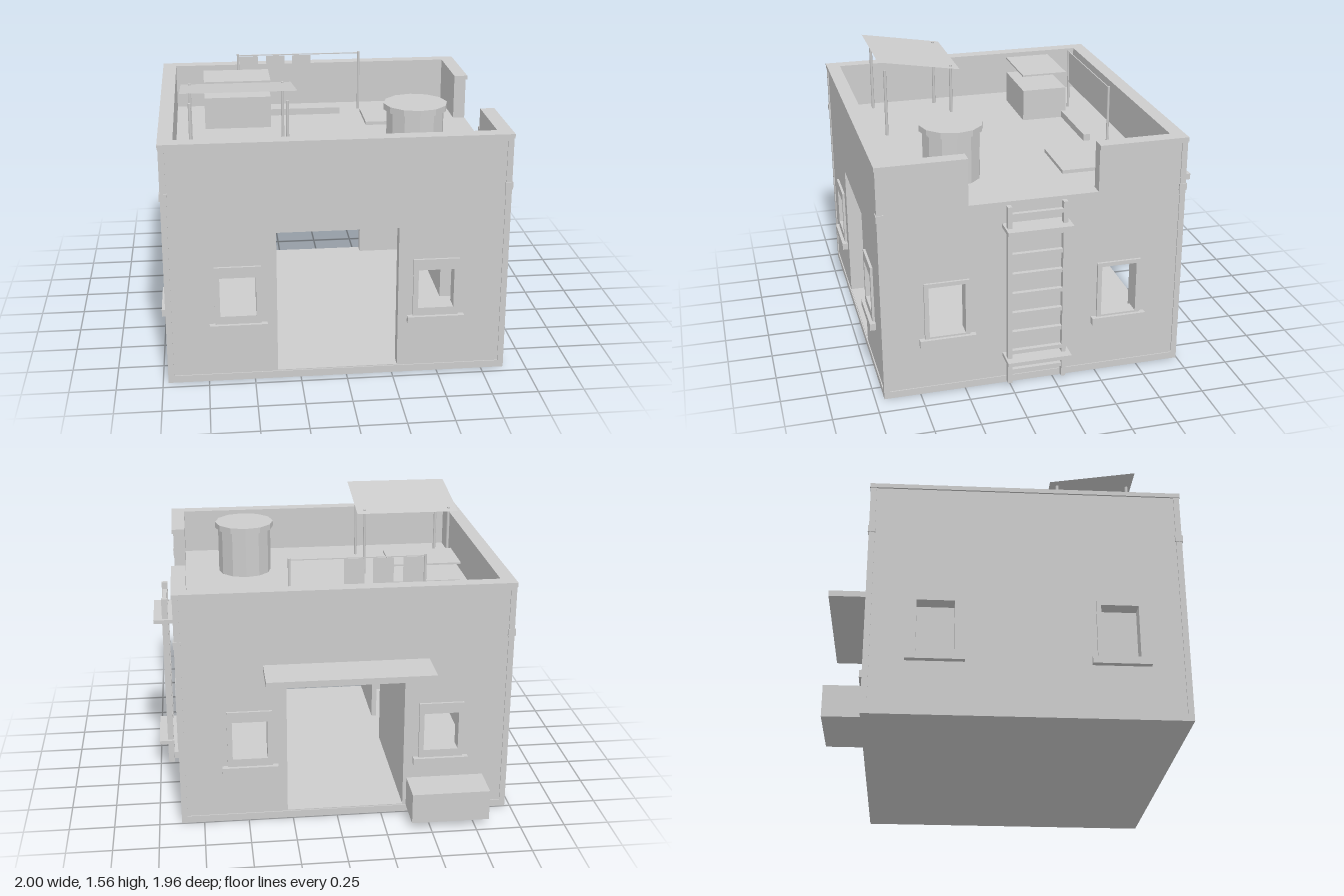
import * as THREE from 'three';

const plaster = new THREE.MeshStandardMaterial({ color: 0xcccccc });
plaster.name = 'plaster';
const thin = new THREE.MeshStandardMaterial({ color: 0xcccccc, side: THREE.DoubleSide });
thin.name = 'thinSheet';

// Outer faces of the walls
const L = -0.965, R = 0.87, B = -0.74, F = 0.945, T = 0.07;
const ROOF = 1.09, TOP = 1.33;

export function createModel() {
  const model = new THREE.Group();
  model.name = 'flatRoofHouse';

  const add = (name, geo, parent = model, mat = plaster) => {
    const mesh = new THREE.Mesh(geo, mat);
    mesh.name = name;
    parent.add(mesh);
    return mesh;
  };
  // Box given by its limits on each axis
  const box = (name, x0, x1, y0, y1, z0, z1, parent = model) => {
    const mesh = add(name, new THREE.BoxGeometry(x1 - x0, y1 - y0, z1 - z0), parent);
    mesh.position.set((x0 + x1) / 2, (y0 + y1) / 2, (z0 + z1) / 2);
    return mesh;
  };
  const rod = (name, x, z, y0, y1, r) => {
    const mesh = add(name, new THREE.CylinderGeometry(r, r, y1 - y0, 6));
    mesh.position.set(x, (y0 + y1) / 2, z);
  };
  const poly = (pts, Type = THREE.Shape) => new Type(pts.map(p => new THREE.Vector2(...p)));
  const rect = (a, b, c, d, Type) => poly([[a, c], [b, c], [b, d], [a, d]], Type);
  // Upright panel with rectangular openings
  const panel = (name, shape, holes, depth, parent) => {
    shape.holes = holes.map(h => rect(...h, THREE.Path));
    return add(name, new THREE.ExtrudeGeometry(shape, { depth, bevelEnabled: false }), parent);
  };

  // Front and back walls, each with a doorway and two windows
  const frontX = [-0.583, 0.485], sideZ = [0.592, -0.378];
  const door = [-0.375, 0.28, 0.045, 0.85];
  const frontHoles = [door, ...frontX.map(c => [c - 0.097, c + 0.097, 0.385, 0.607])];
  const sideHoles = sideZ.map(c => [c - 0.1, c + 0.1, 0.35, 0.645]);
  panel('frontWall', rect(L, R, 0, TOP), frontHoles, T).position.z = F - T;
  panel('backWall', rect(L, R, 0, TOP), frontHoles, T).position.z = B;

  // Side walls; the right one has a gap in its parapet for the ladder
  const z0 = B + T, z1 = F - T, gap0 = -0.25, gap1 = 0.465;
  const left = panel('leftWall', rect(z0, z1, 0, TOP), sideHoles, T);
  left.position.x = L + T;
  const right = panel('rightWall', poly([[z0, 0], [z1, 0], [z1, TOP], [gap1, TOP],
    [gap1, ROOF], [gap0, ROOF], [gap0, TOP], [z0, TOP]]), sideHoles, T);
  right.position.x = R;
  left.rotation.y = right.rotation.y = -Math.PI / 2;

  // Floor, roof and inner partition with a passage
  box('floor', L + T, R - T, 0, 0.045, z0, z1);
  box('roof', L + T, R - T, 1.05, ROOF, z0, z1);
  box('partitionFront', -0.405, -0.375, 0.045, 1.05, 0.45, z1);
  box('partitionBack', -0.405, -0.375, 0.045, 1.05, z0, 0.13);
  box('counter', 0.68, R - T, 0.045, 0.25, -0.35, 0.1);

  // Plinth strips
  const p = 0.006;
  box('plinthFront', L - p, R + p, 0, 0.04, F, F + p);
  box('plinthBack', L - p, R + p, 0, 0.04, B - p, B);
  box('plinthLeft', L - p, L, 0, 0.04, B, F);
  box('plinthRight', R, R + p, 0, 0.04, B, F);

  // Coping on the parapet
  const cx0 = L - 0.01, cx1 = R + 0.01, cz0 = B - 0.01, cz1 = F + 0.01, CT = 1.355;
  box('copingFront', cx0, cx1, TOP, CT, z1, cz1);
  box('copingBack', cx0, cx1, TOP, CT, cz0, z0);
  box('copingLeft', cx0, L + T, TOP, CT, z0, z1);
  box('copingRightBack', R - T, cx1, TOP, CT, z0, gap0);
  box('copingRightFront', R - T, cx1, TOP, CT, gap1, z1);

  // Corner pipes with a clamp
  for (const x of [L + 0.01, R - 0.01]) for (const z of [B + 0.01, F - 0.01]) {
    box('cornerPipe', x - 0.016, x + 0.016, 0.04, TOP, z - 0.016, z + 0.016);
    box('cornerClamp', x - 0.021, x + 0.021, 1.05, 1.09, z - 0.021, z + 0.021);
  }

  // Window surrounds with sills, on all four walls
  const surround = (x, z, turn, hole) => {
    const g = new THREE.Group();
    g.name = 'window';
    panel('windowFrame', rect(-0.125, 0.125, 0.34, 0.668), [hole], 0.014, g);
    box('windowSill', -0.155, 0.155, 0.3, 0.34, 0, 0.033, g);
    g.position.set(x, 0, z);
    g.rotation.y = turn;
    model.add(g);
  };
  for (const x of frontX) {
    surround(x, F, 0, [-0.097, 0.097, 0.385, 0.607]);
    surround(x, B, Math.PI, [-0.097, 0.097, 0.385, 0.607]);
  }
  for (const z of sideZ) {
    surround(R, z, Math.PI / 2, [-0.1, 0.1, 0.35, 0.645]);
    surround(L, z, -Math.PI / 2, [-0.1, 0.1, 0.35, 0.645]);
  }

  // Back awning and crate
  box('backAwning', -0.505, 0.405, 0.9, 0.935, -0.98, B);
  box('backCrate', -0.83, -0.395, 0.035, 0.21, -0.95, B);

  // Ladder on the right wall
  for (const z of [0.262, -0.043]) box('ladderRail', 0.915, 0.95, 0.035, ROOF, z - 0.012, z + 0.012);
  for (let i = 0; i < 9; i++) {
    const y = 0.105 + i * 0.1165;
    box('ladderRung', 0.92, 0.945, y - 0.011, y + 0.011, -0.04, 0.26);
  }
  for (const y of [0.177, 0.957]) box('ladderBracket', R, 1.0, y - 0.011, y + 0.011, -0.075, 0.285);

  // Water tank with lid
  const tank = add('waterTank', new THREE.CylinderGeometry(0.16, 0.16, 0.275, 12).toNonIndexed());
  tank.position.set(0.435, 1.2275, 0.457);
  const lid = add('tankLid', new THREE.CylinderGeometry(0.177, 0.177, 0.035, 12).toNonIndexed());
  lid.position.set(0.435, 1.382, 0.457);
  for (const m of [tank, lid]) m.geometry.computeVertexNormals();

  // Sloping sunshade on four posts
  const shade = add('sunshade', new THREE.PlaneGeometry(0.615, Math.hypot(0.485, 0.08)), model, thin);
  shade.rotation.x = -Math.PI / 2 - Math.atan2(0.08, 0.485);
  shade.position.set(-0.547, 1.52, 0.492);
  for (const x of [-0.805, -0.29]) for (const z of [0.69, 0.295]) rod('shadePost', x, z, ROOF, 1.495, 0.009);

  // Washing line with three cloths
  for (const x of [-0.51, 0.24]) rod('linePost', x, -0.515, ROOF, 1.46, 0.008);
  box('washingLine', -0.51, 0.24, 1.448, 1.454, -0.518, -0.512);
  for (const x of [-0.445, -0.278, -0.117]) {
    const cloth = add('cloth', new THREE.PlaneGeometry(0.115, 0.19), model, thin);
    cloth.position.set(x, 1.35, -0.515);
  }

  // Roof furniture
  box('roofBox', -0.725, -0.33, ROOF, 1.28, -0.44, -0.168);
  box('raisedBoard', -0.725, -0.33, 1.37, 1.38, -0.44, -0.165);
  box('roofHatch', 0.24, 0.588, 1.095, 1.115, -0.44, -0.135);
  box('roofBeam', -0.56, 0.112, ROOF, 1.13, -0.455, -0.413);

  return model;
}
